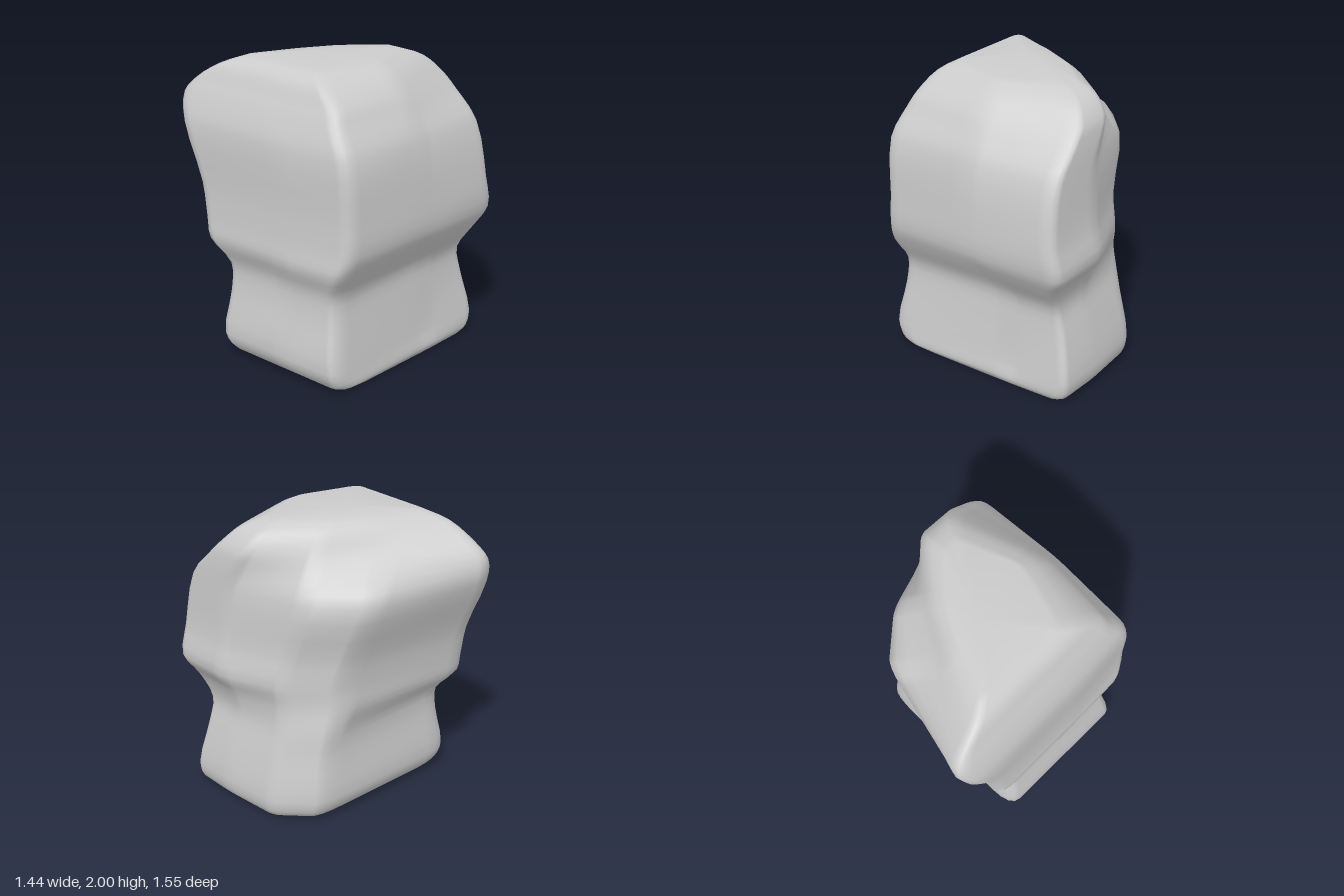
import * as THREE from 'three';

const { lerp, smoothstep } = THREE.MathUtils;

// Silhouette by height: y, left edge x, right edge x, then z of the
// front middle, front right, front left, back left corner and back middle
const PROFILE = [
  [0.00, -0.52, 0.62, 0.63, 0.62, 0.63, -0.20, -0.24],
  [0.04, -0.67, 0.68, 0.65, 0.64, 0.66, -0.33, -0.33],
  [0.15, -0.72, 0.70, 0.65, 0.65, 0.66, -0.38, -0.37],
  [0.45, -0.67, 0.64, 0.60, 0.60, 0.61, -0.36, -0.35],
  [0.63, -0.66, 0.60, 0.60, 0.60, 0.60, -0.37, -0.36],
  [0.79, -0.72, 0.64, 0.69, 0.70, 0.68, -0.51, -0.36],
  [0.93, -0.71, 0.72, 0.76, 0.77, 0.73, -0.55, -0.36],
  [1.15, -0.70, 0.68, 0.765, 0.775, 0.73, -0.60, -0.41],
  [1.52, -0.70, 0.66, 0.73, 0.69, 0.70, -0.76, -0.54],
  [1.70, -0.64, 0.65, 0.65, 0.52, 0.59, -0.81, -0.44],
  [1.80, -0.59, 0.63, 0.59, 0.42, 0.53, -0.73, -0.38],
  [1.91, -0.53, 0.54, 0.49, 0.32, 0.38, -0.55, -0.32],
  [1.975, -0.43, 0.38, 0.37, 0.22, 0.24, -0.38, -0.24],
];

// Plan outline at one height: a square with its back right corner cut off
function outlineCorners([y, left, right, front, frontRight, frontLeft, back, middle]) {
  const upper = smoothstep(y, 0.6, 1), overhang = smoothstep(y, 0.95, 1.45);
  const crown = smoothstep(y, 1.45, 1.9);
  const dent = 0.03 * smoothstep(y, 0, 0.15) * (1 - smoothstep(y, 0.15, 0.45));
  return [
    [left, back],
    [lerp(left, right, 0.82 - 0.12 * upper - 0.28 * crown), middle],
    [lerp(left, right, 0.98 - 0.1 * upper - 0.17 * crown), middle * (0.3 + 0.16 * overhang)],
    [right, 0.32 - 0.2 * crown],
    [right - 0.01, frontRight],
    [0.25 * (1 - upper), front - dent],
    [left + 0.03 * upper * (1 - crown), frontLeft],
    [left, 0.2 - 0.2 * crown],
  ].map(([x, z]) => new THREE.Vector3(x, y, z));
}

// Round every corner of an outline with a short quadratic curve
function roundOutline(corners) {
  const n = corners.length;
  return corners.flatMap((c, i) => new THREE.QuadraticBezierCurve3(
    c.clone().lerp(corners[(i + n - 1) % n], 0.16), c,
    c.clone().lerp(corners[(i + 1) % n], 0.16)).getPoints(4));
}

function createBoulderGeometry() {
  // Smooth upright curves through matching corners
  const outlines = PROFILE.map(outlineCorners);
  const columns = outlines[0].map((_, k) => new THREE.CatmullRomCurve3(outlines.map(o => o[k])));
  const steps = (PROFILE.length - 1) * 3;
  const rings = [];
  for (let j = 0; j <= steps; j++) rings.push(roundOutline(columns.map(c => c.getPoint(j / steps))));

  const n = rings[0].length;
  const points = rings.flat();
  const index = [];
  for (let j = 0; j < steps; j++) {
    for (let i = 0; i < n; i++) {
      const a = j * n + i, b = j * n + (i + 1) % n;
      index.push(b, a, a + n, b, a + n, b + n);
    }
  }

  // Close the underside and the crown
  const bottom = points.push(new THREE.Vector3(0, 0, 0.2)) - 1;
  const top = points.push(new THREE.Vector3(-0.1, 2, -0.05)) - 1;
  for (let i = 0; i < n; i++) {
    const k = (i + 1) % n;
    index.push(bottom, i, k, top, steps * n + k, steps * n + i);
  }

  const geometry = new THREE.BufferGeometry().setFromPoints(points);
  geometry.setIndex(index);
  geometry.computeVertexNormals();
  return geometry;
}

export function createModel() {
  const group = new THREE.Group();
  const material = new THREE.MeshStandardMaterial({ color: 0xcccccc });
  const boulder = new THREE.Mesh(createBoulderGeometry(), material);
  boulder.name = 'boulder';
  group.add(boulder);
  return group;
}
